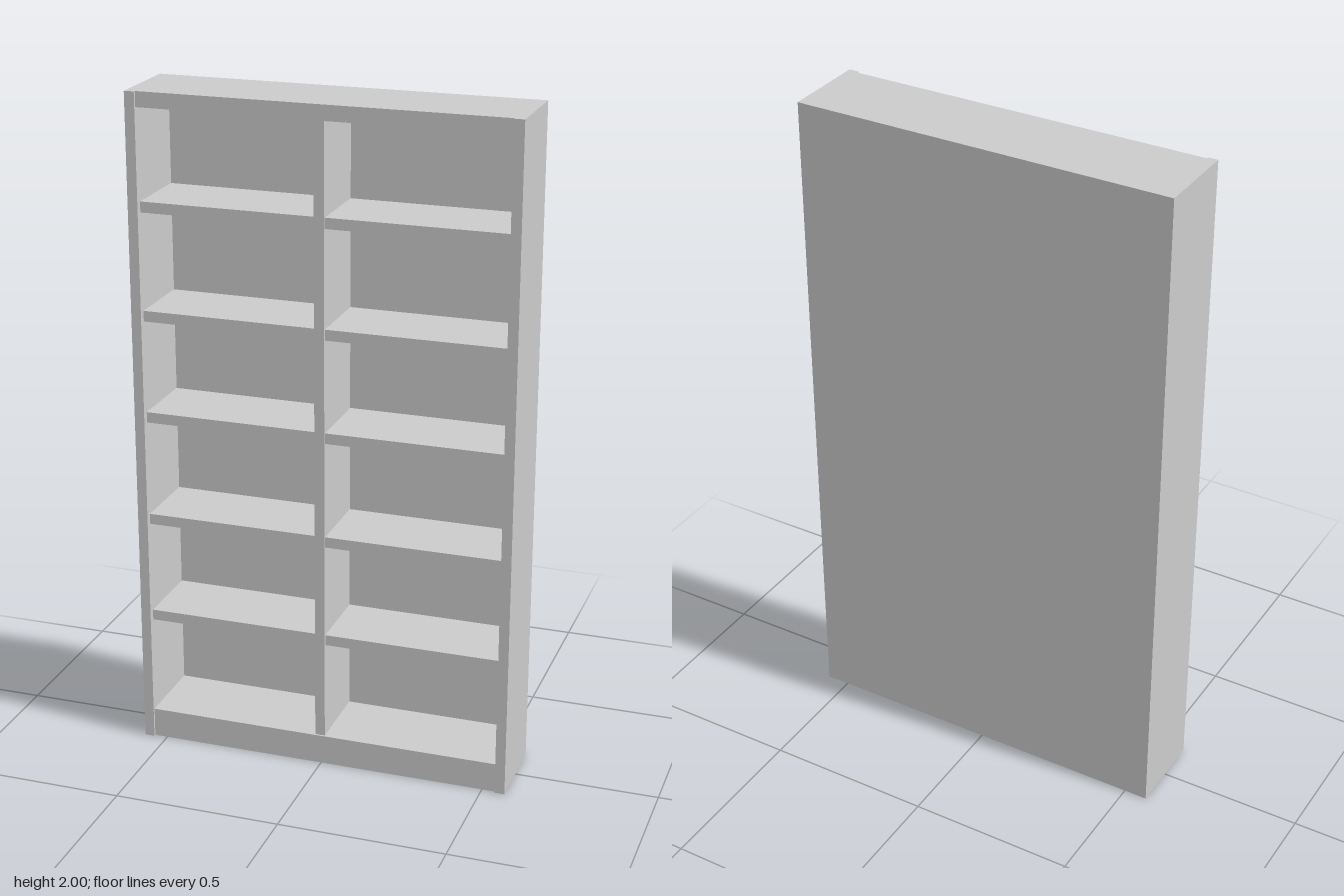
import * as THREE from 'three';

export function createModel() {
  const group = new THREE.Group();
  const material = new THREE.MeshStandardMaterial({ color: 0xcccccc });

  // Board given by its extents along each axis
  function board(name, [x0, x1], [y0, y1], [z0, z1]) {
    const mesh = new THREE.Mesh(new THREE.BoxGeometry(x1 - x0, y1 - y0, z1 - z0), material);
    mesh.position.set((x0 + x1) / 2, (y0 + y1) / 2, (z0 + z1) / 2);
    mesh.name = name;
    group.add(mesh);
  }

  const W = 0.57, inner = 0.54, D = 0.127;
  const back = -0.118, railFront = 0.12, dividerFront = 0.114, shelfFront = 0.108;
  const bottom = 0.09, top = 1.955;
  const divider = [-0.02, 0.01];

  // Carcass: sides stand slightly proud of the rails
  board('leftSide', [inner, W], [0, 2], [-D, D]);
  board('rightSide', [-W, -inner], [0, 2], [-D, D]);
  board('topPanel', [-inner, inner], [top, 2], [-D, railFront]);
  board('basePlinth', [-inner, inner], [0, bottom], [-D, railFront]);
  board('backPanel', [-inner, inner], [bottom, top], [-D, back]);
  board('centreDivider', divider, [bottom, top], [back, dividerFront]);

  // Five shelves in each bay
  const bays = { right: [-inner, divider[0]], left: [divider[1], inner] };
  const shelfBottoms = [0.387, 0.7, 1.021, 1.33, 1.652];
  for (const [side, span] of Object.entries(bays)) {
    shelfBottoms.forEach((y, i) =>
      board(`${side}Shelf${i + 1}`, span, [y, y + 0.032], [back, shelfFront]));
  }

  return group;
}
